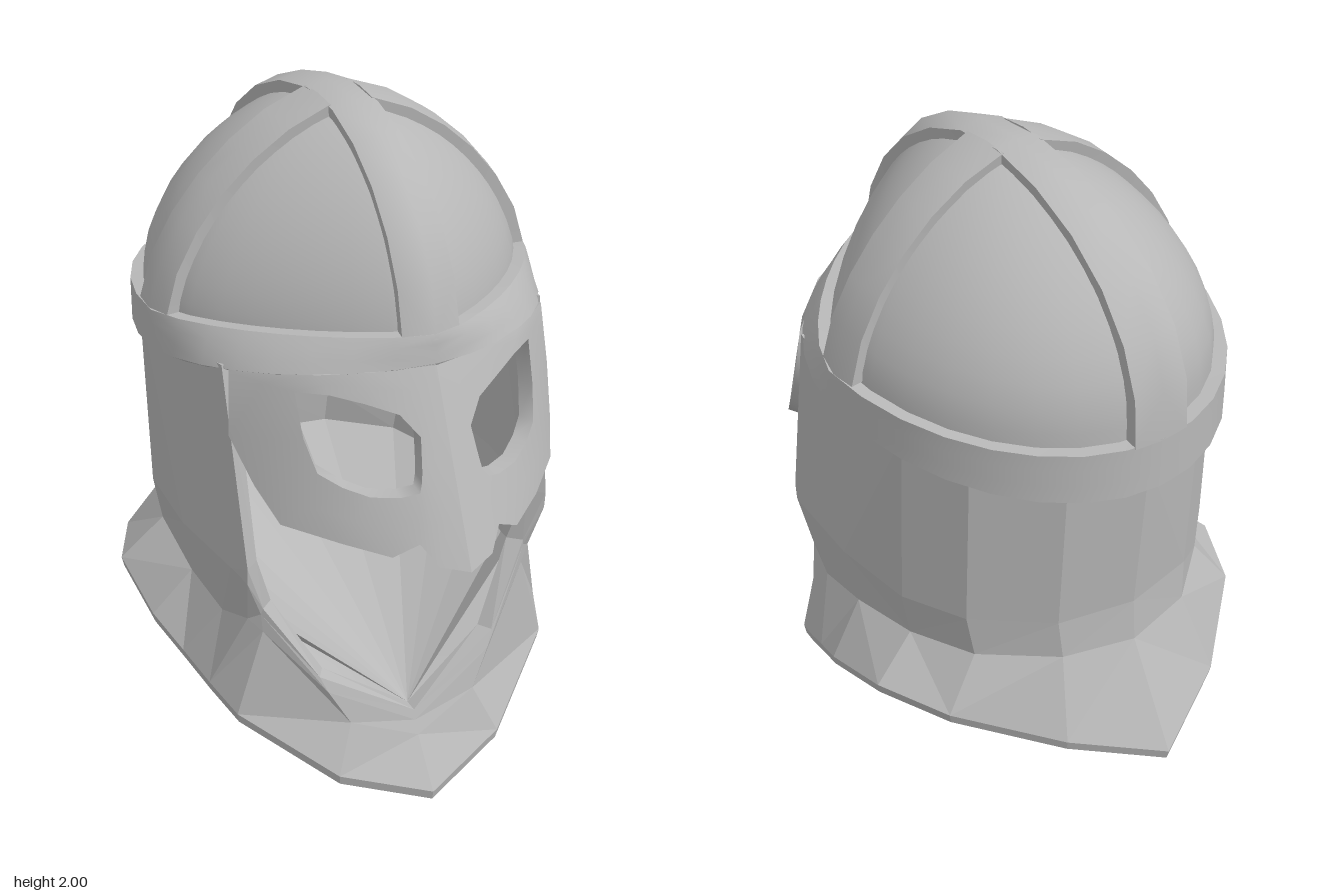
import * as THREE from 'three';
import { mergeGeometries, mergeVertices } from 'three/addons/utils/BufferGeometryUtils.js';

const V = (x, y, z) => new THREE.Vector3(x, y, z);
const lerp = THREE.MathUtils.lerp;
const BASE = 1.43, H = 0.57, SIDE = 0.58, FRONT = 0.58, BACK = 0.71;

// Grid of quads from fn(i, j), each split along its shorter diagonal; faces point along du x dv
function grid(fn, nu, nv) {
  const pts = [], idx = [], row = nv + 1;
  for (let i = 0; i <= nu; i++) for (let j = 0; j <= nv; j++) pts.push(fn(i, j));
  for (let i = 0; i < nu; i++) for (let j = 0; j < nv; j++) {
    const a = i * row + j, b = a + row, c = b + 1, d = a + 1;
    if (pts[a].distanceTo(pts[c]) < pts[b].distanceTo(pts[d])) idx.push(a, b, c, a, c, d);
    else idx.push(a, b, d, b, c, d);
  }
  const g = new THREE.BufferGeometry().setFromPoints(pts);
  g.setIndex(idx);
  return mergeVertices(g);
}

function shaded(geo, flat) {
  const g = flat ? geo.toNonIndexed() : geo;
  g.computeVertexNormals();
  return g;
}

// Thick plate: fn(i, j, layer), layer 0 is outside and 1 inside, with walls along its edges
function slab(fn, nu, nv, closed = false, flat = false) {
  const parts = [
    grid((i, j) => fn(i, j, 0), nu, nv),
    grid((i, j) => fn(nu - i, j, 1), nu, nv),
    grid((i, k) => fn(i, 0, 1 - k), nu, 1),
    grid((i, k) => fn(i, nv, k), nu, 1),
  ];
  if (!closed) parts.push(
    grid((j, k) => fn(0, j, k), nv, 1),
    grid((j, k) => fn(nu, j, 1 - k), nv, 1));
  return mergeGeometries(parts.map(p => shaded(p, flat)));
}

// Point of the skull surface along d; frontPower sets how pointed the front is in plan
function skull(d, k = 1, frontPower = 1.4) {
  const hx = Math.abs(d.x) / SIDE, hz = Math.abs(d.z) / (d.z > 0 ? FRONT : BACK);
  const m = d.z > 0 ? frontPower : 2, n = 1.62 + 0.45 * (hz / (hx + hz + 1e-6)) ** 2;
  const r = Math.pow(hx ** m + hz ** m, 1 / m), hy = Math.max(0, d.y) / H;
  const s = k * Math.pow(r ** n + hy ** n, -1 / n);
  return V(d.x * s, BASE + d.y * s, d.z * s);
}

// Face mask surface: the rim outline, sweeping forward as it goes down
function maskPoint(x, y) {
  const z = FRONT * Math.pow(Math.max(0, 1 - (x / SIDE) ** 1.8), 1 / 1.8);
  return V(x, y, z + 0.008 + (1.4 - y) * (0.43 - 0.34 * x));
}

// Eye opening and, point for point, the outer edge around it (one half)
const EYE = [[.12, 1.31], [.2, 1.34], [.28, 1.36], [.355, 1.36], [.35, 1.24], [.33, 1.15], [.28, 1.12],
  [.22, 1.1], [.15, 1.1], [.1, 1.11], [.09, 1.14], [.085, 1.17], [.075, 1.25]];
const EDGE = [[0, 1.42], [.17, 1.42], [.3, 1.41], [.48, 1.38], [.495, 1.2], [.46, 1.08], [.42, .99],
  [.3, .97], [.19, .945], [.12, .98], [.08, .92], [0, .9], [0, 1.15]];

// Neck guard columns from front to back: top, middle, waist, collar edge
const NECK = [
  [[0, .24, .49], [0, .21, .5], [0, .17, .52], [0, .03, .62]],
  [[.28, .41, .44], [.26, .36, .455], [.2, .25, .48], [.26, .11, .53]],
  [[.42, .64, .365], [.425, .62, .36], [.42, .56, .36], [.5, .29, .35]],
  [[.475, .8, .39], [.475, .75, .385], [.455, .6, .335], [.54, .345, .24]],
  [[.49, 1.39, .28], [.5, .78, .33], [.485, .57, .22], [.575, .4, .13]],
  [[.53, 1.37, .05], [.53, .78, .05], [.5, .6, .03], [.615, .46, 0]],
  [[.52, 1.34, -.25], [.515, .78, -.22], [.49, .64, -.22], [.62, .52, -.24]],
  [[.43, 1.31, -.43], [.43, .78, -.41], [.41, .65, -.42], [.52, .5, -.45]],
  [[.23, 1.29, -.6], [.23, .77, -.57], [.22, .65, -.58], [.27, .42, -.67]],
  [[0, 1.27, -.66], [0, .77, -.62], [0, .64, -.63], [0, .33, -.8]],
];
const RING = 2 * (NECK.length - 1), HALF = RING / 2;

function neckPoint(i, j, k) {
  const c = i % RING, [x, y, z] = NECK[c <= HALF ? c : RING - c][3 - j];
  const sx = c <= HALF ? x : -x;
  if (!k) return V(sx, y, z);
  return j === 0 ? V(sx * 0.99, y - 0.03, z * 0.99) : V(sx * 0.91, y, -0.05 + (z + 0.05) * 0.92);
}

export function createModel() {
  const group = new THREE.Group();
  const steel = new THREE.MeshStandardMaterial({ color: 0xb8b8b8, side: THREE.DoubleSide });
  steel.name = 'steel';
  const add = (name, geo) => {
    const mesh = new THREE.Mesh(geo, steel);
    mesh.name = name;
    group.add(mesh);
  };

  // Smooth dome seen between the straps
  let dome = new THREE.SphereGeometry(1, 32, 14, 0, Math.PI * 2, 0, 1.71);
  const p = dome.attributes.position;
  for (let i = 0; i < p.count; i++) {
    const z = p.getZ(i) * (p.getZ(i) > 0 ? FRONT : BACK);
    const q = skull(V(p.getX(i) * SIDE, p.getY(i) * H + 0.1 * z, z), 0.94);
    p.setXYZ(i, q.x, q.y, q.z);
  }
  dome.deleteAttribute('uv');
  dome.deleteAttribute('normal');
  dome = mergeVertices(dome);
  add('dome', shaded(dome));

  // Strap from brow to nape, narrowing to the crown
  add('lengthStrap', slab((i, j, k) => {
    const a = lerp(0.11, Math.PI + 0.1, j / 12), c = Math.cos(a);
    const w = lerp(0.068, 0.09, Math.abs(c));
    return skull(V((i - 1) * w, H * Math.sin(a), c * (c > 0 ? FRONT : BACK)), k ? 0.91 : 1);
  }, 2, 12));

  // Straps from the crown down to each side
  for (const s of [1, -1]) add(s > 0 ? 'leftStrap' : 'rightStrap', slab((i, j, k) => {
    const a = lerp(1.46, 0.03, i / 6);
    const z = lerp(0.065, -0.1, (s > 0 ? j : 2 - j) / 2);
    return skull(V(s * SIDE * Math.cos(a), H * Math.sin(a), z), k ? 0.91 : 0.998);
  }, 6, 2));

  // Tilted rim band, rounder at its lower edge, with a bevelled underside
  add('rimBand', slab((i, j, k) => {
    const a = (i % 32) / 32 * Math.PI * 2, c = Math.cos(a);
    const o = skull(V(Math.sin(a) * SIDE, 0, c * (c > 0 ? FRONT : BACK)), 1, lerp(1.8, 1.4, j / 3));
    const y = lerp(1.335 + 0.155 * o.z, 1.45 + 0.1 * o.z, j / 3);
    const f = Math.sqrt(1 - (Math.max(0, y - BASE) / H) ** 2) * (k ? 0.92 : 1);
    return V(o.x * f, y - (k && j === 0 ? 0.03 : 0), o.z * f);
  }, 32, 3, true));

  // Face mask halves
  for (const s of [1, -1]) {
    const n = EYE.length;
    add(s > 0 ? 'leftMask' : 'rightMask', slab((i, j, k) => {
      const at = (s > 0 ? i : n - i) % n, e = EYE[at], o = EDGE[at], t = 1 - j / 2;
      const q = maskPoint(lerp(e[0], o[0], t), lerp(e[1], o[1], t));
      return V(s * q.x * (k ? 0.95 : 1), q.y, q.z - (k ? 0.05 : 0));
    }, n, 2, true));
  }

  // Neck guard flaring into the collar
  add('neckGuard', slab(neckPoint, RING, 3, true, true));

  // Floor inside the neck, fanning from the front lip up to the waist
  add('innerFloor', shaded(grid((i, j) => (j ? neckPoint(0, 3, 1) : neckPoint(i + 3, 1, 1)),
    RING - 6, 1), true));

  // Underside closing the collar
  add('collarUnderside', shaded(grid((i, j) =>
    neckPoint(RING - i, 0, 1).lerp(V(0, 0.18, -0.05), 1 - j / 3), RING, 3)));

  return group;
}
